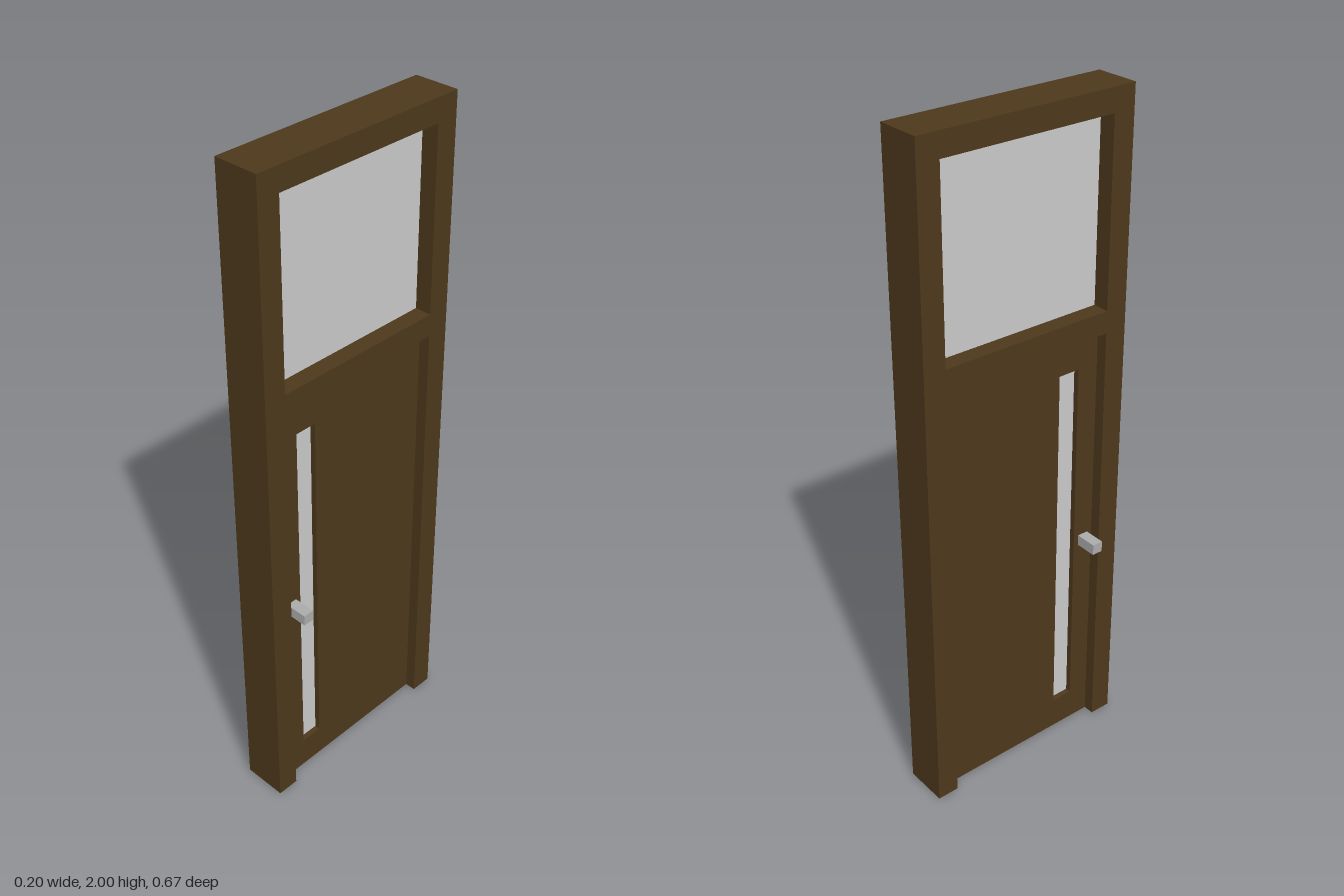
import * as THREE from 'three';

const wood = new THREE.MeshStandardMaterial({ color: 0x4e391c });
const glass = new THREE.MeshStandardMaterial({ color: 0xcccccc });
const metal = new THREE.MeshStandardMaterial({ color: 0xadadad });

// Rectangular hole, in across/up coordinates
function rectHole(x0, x1, y0, y1) {
  return new THREE.Path([[x0, y0], [x0, y1], [x1, y1], [x1, y0]].map(p => new THREE.Vector2(...p)));
}

// Panel outline extruded through the thickness; its width runs along z
function panel(name, points, holes, thickness, material) {
  const shape = new THREE.Shape(points.map(p => new THREE.Vector2(...p)));
  shape.holes.push(...holes);
  const geometry = new THREE.ExtrudeGeometry(shape, { depth: thickness, bevelEnabled: false });
  geometry.translate(0, 0, -thickness / 2).rotateY(Math.PI / 2);
  const mesh = new THREE.Mesh(geometry, material);
  mesh.name = name;
  return mesh;
}

function box(name, size, position, material) {
  const mesh = new THREE.Mesh(new THREE.BoxGeometry(...size), material);
  mesh.position.set(...position);
  mesh.name = name;
  return mesh;
}

export function createModel() {
  const group = new THREE.Group();
  group.name = 'door';
  const W = 0.3333, w = 0.2667, doorTop = 1.3333;

  // Frame: open at the floor, with a window opening above the door
  group.add(panel('frame',
    [[-W, 0], [-w, 0], [-w, doorTop], [w, doorTop], [w, 0], [W, 0], [W, 2], [-W, 2]],
    [rectHole(-w, w, 1.4, 1.9333)], 0.1333, wood));

  // Door leaf with a narrow window slot
  group.add(panel('doorLeaf',
    [[-w, 0], [w, 0], [w, doorTop], [-w, doorTop]],
    [rectHole(-0.2, -0.1333, 0.1, 1.2333)], 0.0667, wood));

  // Glass panes
  group.add(box('transomGlass', [0.0333, 0.5333, 2 * w], [0, 1.6667, 0], glass));
  group.add(box('doorGlass', [0.0333, 1.1333, 0.0667], [0, 0.6667, 0.1667], glass));

  // A handle on each side of the leaf
  for (const [name, side] of [['leftHandle', 1], ['rightHandle', -1]]) {
    group.add(box(name, [0.0667, 0.0333, 0.0333], [side * 0.0667, 0.6667, 0.2333], metal));
  }
  return group;
}
